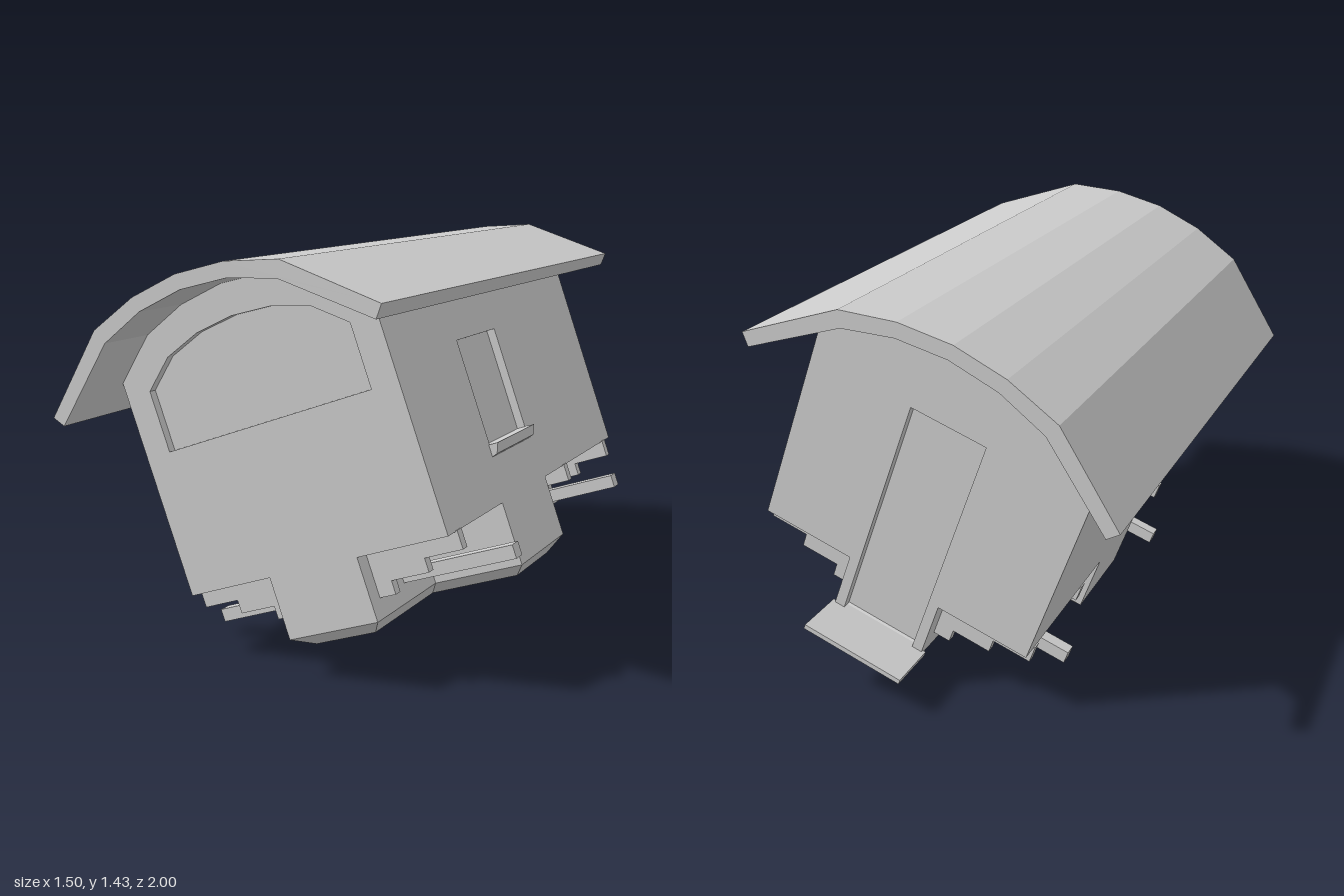
import * as THREE from 'three';

const material = new THREE.MeshStandardMaterial({ color: 0xcccccc, flatShading: true });
const T = 0.03; // depth of the window and door recesses
const W = 0.52, L = 0.78; // half width and half length of the cabin
const ARM = 0.178, FLOOR = 0.122, WELL = 0.342; // central underbody and wheel wells
const MID = 0.15; // z of the side windows and the cross arm

const shapeOf = (pts) => new THREE.Shape(pts.map(([x, y]) => new THREE.Vector2(x, y)));
// Completes a right-hand profile (right to centre) with its mirror image
const mirrored = (pts) => [...pts, ...pts.filter(([x]) => x > 0).reverse().map(([x, y]) => [-x, y])];

function add(parent, name, geometry) {
  const mesh = new THREE.Mesh(geometry, material);
  mesh.name = name;
  parent.add(mesh);
  return mesh;
}

function box(parent, name, x0, x1, y0, y1, z0, z1) {
  const mesh = add(parent, name, new THREE.BoxGeometry(x1 - x0, y1 - y0, z1 - z0));
  mesh.position.set((x0 + x1) / 2, (y0 + y1) / 2, (z0 + z1) / 2);
  return mesh;
}

// Prism along z
function alongZ(shape, z0, z1) {
  return new THREE.ExtrudeGeometry(shape, { depth: z1 - z0, bevelEnabled: false }).translate(0, 0, z0);
}
// Prism along x; the shape's horizontal axis is -z
function alongX(shape, x0, x1) {
  return new THREE.ExtrudeGeometry(shape, { depth: x1 - x0, bevelEnabled: false })
    .rotateY(Math.PI / 2).translate(x0, 0, 0);
}

const ceiling = [[0.352, 1.243], [0.178, 1.298], [0, 1.316]];
// Gable outline with a narrow tab reaching down between the wheel wells
const gable = () => shapeOf(mirrored([[ARM, FLOOR], [ARM, WELL], [W, WELL], [W, 1.117], ...ceiling]));

// Plan of the cross-shaped underbody, shrunk by an inset
function crossPlan(i) {
  const a = ARM - i, w = W - i, l = L - i, z0 = MID - 0.2 + i, z1 = MID + 0.2 - i;
  return shapeOf([[a, -l], [a, z0], [w, z0], [w, z1], [a, z1], [a, l],
    [-a, l], [-a, z1], [-w, z1], [-w, z0], [-a, z0], [-a, -l]]);
}

export function createModel() {
  const model = new THREE.Group();
  model.name = 'wagon';
  const wagon = new THREE.Group();
  wagon.name = 'tiltedWagon';
  wagon.rotation.z = THREE.MathUtils.degToRad(20);
  wagon.position.set(0.2406, 0.0876, 0);
  model.add(wagon);

  // Curved, overhanging roof
  const outer = mirrored([[0.664, 1.071], [0.378, 1.295], [0.187, 1.349], [0, 1.367]]);
  const inner = mirrored([[0.631, 1.033], ...ceiling]).reverse();
  add(wagon, 'roof', alongZ(shapeOf([...outer, ...inner]), -1, 1));

  // Cabin core, which also forms the recessed panes and door
  const core = mirrored([[W - T, WELL], [W - T, 1.138], ...ceiling]);
  add(wagon, 'cabinCore', alongZ(shapeOf(core), -L + T, L - T));
  box(wagon, 'underbodyLength', -ARM, ARM, FLOOR, WELL, -L + T, L - T);
  box(wagon, 'underbodyWidth', -W + T, W - T, FLOOR, WELL, MID - 0.2, MID + 0.2);

  // Front wall with its wide arched window
  const front = gable();
  front.holes.push(shapeOf(mirrored([[0.418, 0.843], [0.418, 1.06], [0.3, 1.149], [0.155, 1.192], [0, 1.206]])));
  add(wagon, 'frontWall', alongZ(front, L - T, L));

  // Back wall with the door opening, and the doorstep
  const back = gable();
  back.holes.push(shapeOf([[-0.14, 0.14], [0.14, 0.14], [0.14, 0.985], [-0.14, 0.985]]));
  add(wagon, 'backWall', alongZ(back, -L, -L + T));
  box(wagon, 'doorstep', -0.19, 0.19, 0.123, 0.14, -0.96, -L + 0.01);

  // Chamfered bottom of the underbody
  const chamfer = 0.058;
  add(wagon, 'chamferedBottom', new THREE.ExtrudeGeometry(crossPlan(chamfer), {
    depth: 0.001, bevelThickness: 0.044, bevelSize: chamfer, bevelSegments: 1,
  }).rotateX(Math.PI / 2).translate(0, 0.123, 0));

  // Stepped bracket outline hanging in a wheel well
  const bracket = [[0.17, 0.187], [0.24, 0.187], [0.24, 0.234], [0.383, 0.234],
    [0.383, 0.282], [0.525, 0.282], [0.525, 0.345], [0.17, 0.345]];
  // Sill cross-section
  const sill = [[0.49, 0.497], [0.52, 0.497], [0.54, 0.504], [0.555, 0.54], [0.49, 0.54]];

  for (const side of [1, -1]) {
    const label = side > 0 ? 'left' : 'right';
    // Side wall with a window
    const wall = shapeOf([[-MID - 0.2, FLOOR], [-MID + 0.2, FLOOR], [-MID + 0.2, WELL], [L - T, WELL],
      [L - T, 1.117], [-L + T, 1.117], [-L + T, WELL], [-MID - 0.2, WELL]]);
    wall.holes.push(shapeOf([[-MID - 0.16, 0.53], [-MID + 0.16, 0.53], [-MID + 0.16, 0.909], [-MID - 0.16, 0.909]]));
    add(wagon, label + 'Wall', alongX(wall, side > 0 ? W - T : -W, side > 0 ? W : -W + T));

    const flip = (pts) => shapeOf(pts.map(([x, y]) => [side * x, y]));
    add(wagon, label + 'WindowSill', alongZ(flip(sill), MID - 0.167, MID + 0.167));
    for (const z of [0.707, -0.25, -0.697]) {
      add(wagon, label + 'AxleBracket', alongZ(flip(bracket), z - 0.016, z + 0.016));
    }
  }

  // Square axles
  for (const z of [0.527, -0.475]) box(wagon, 'axle', -0.607, 0.607, 0.185, 0.232, z - 0.024, z + 0.024);

  return model;
}
